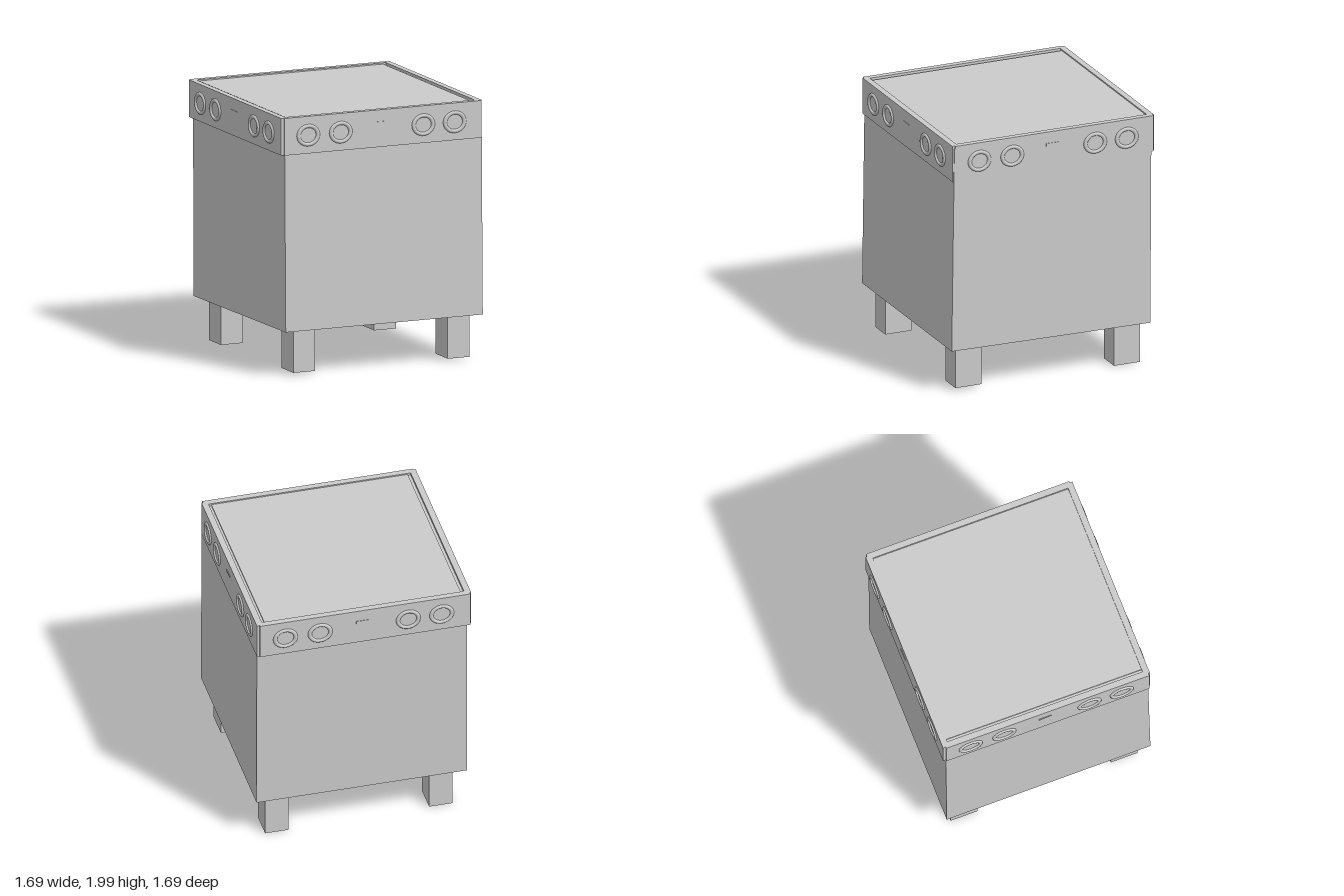
import * as THREE from 'three';

const material = new THREE.MeshStandardMaterial({ color: 0xcccccc, flatShading: true });
const smooth = new THREE.MeshStandardMaterial({ color: 0xcccccc, side: THREE.DoubleSide });

// Box given by its limits on each axis
function block(name, [x0, x1], [y0, y1], [z0, z1]) {
  const mesh = new THREE.Mesh(new THREE.BoxGeometry(x1 - x0, y1 - y0, z1 - z0), material);
  mesh.position.set((x0 + x1) / 2, (y0 + y1) / 2, (z0 + z1) / 2);
  mesh.name = name;
  return mesh;
}

// Large cabinet, leaning very slightly about the x axis
function makeBody() {
  const geometry = new THREE.BoxGeometry(1.635, 1, 1);
  const p = geometry.attributes.position;
  for (let i = 0; i < p.count; i++) {
    const front = p.getZ(i) > 0;
    if (p.getY(i) > 0) {
      p.setY(i, 1.97);
      p.setZ(i, front ? 0.82 : -0.806);
    } else {
      p.setY(i, front ? 0.35 : 0.333);
      p.setZ(i, front ? 0.842 : -0.797);
    }
  }
  geometry.computeVertexNormals();
  const body = new THREE.Mesh(geometry, material);
  body.position.x = 0.0125;
  body.name = 'body';
  return body;
}

// Raised ring with a rounded lip, slightly wider than tall
function makeRing(x) {
  const profile = [
    [0.063, -0.004], [0.066, 0.006], [0.072, 0.011], [0.08, 0.013],
    [0.088, 0.011], [0.094, 0.006], [0.097, -0.004],
  ].map(([r, h]) => new THREE.Vector2(r, h));
  const geometry = new THREE.LatheGeometry(profile, 40);
  geometry.rotateX(Math.PI / 2);
  const ring = new THREE.Mesh(geometry, smooth);
  ring.scale.y = 0.885;
  ring.position.set(x, 1.845, 0.834);
  ring.name = 'ring';
  return ring;
}

// Fascia board with four rings and a small central wedge
function makeFascia() {
  const fascia = new THREE.Group();
  fascia.add(block('fasciaBoard', [-0.812, 0.823], [1.705, 1.99], [0.786, 0.834]));
  for (const x of [-0.615, -0.345, 0.34, 0.6]) fascia.add(makeRing(x));
  const outline = new THREE.Shape([
    new THREE.Vector2(-0.065, 1.878), new THREE.Vector2(0.035, 1.892),
    new THREE.Vector2(0.035, 1.9), new THREE.Vector2(-0.065, 1.9),
  ]);
  const wedge = new THREE.Mesh(
    new THREE.ExtrudeGeometry(outline, { depth: 0.008, bevelEnabled: false }), material);
  wedge.position.z = 0.83;
  wedge.name = 'wedge';
  fascia.add(wedge);
  return fascia;
}

export function createModel() {
  const model = new THREE.Group();
  model.name = 'cabinet';
  model.add(makeBody());

  // Top plate sits just below the rim
  model.add(block('topPlate', [-0.763, 0.764], [1.94, 1.98], [-0.79, 0.79]));

  // The same fascia on all four sides
  ['front', 'right', 'back', 'left'].forEach((side, i) => {
    const fascia = makeFascia();
    fascia.rotation.y = i * Math.PI / 2;
    fascia.name = side + 'Fascia';
    model.add(fascia);
  });

  // Square legs
  const right = [-0.71, -0.53], left = [0.57, 0.75];
  model.add(
    block('frontLegRight', right, [0.02, 0.37], [0.56, 0.775]),
    block('frontLegLeft', left, [0.02, 0.37], [0.56, 0.775]),
    block('backLegRight', right, [0, 0.36], [-0.73, -0.515]),
    block('backLegLeft', left, [0, 0.36], [-0.747, -0.533]),
  );
  return model;
}
